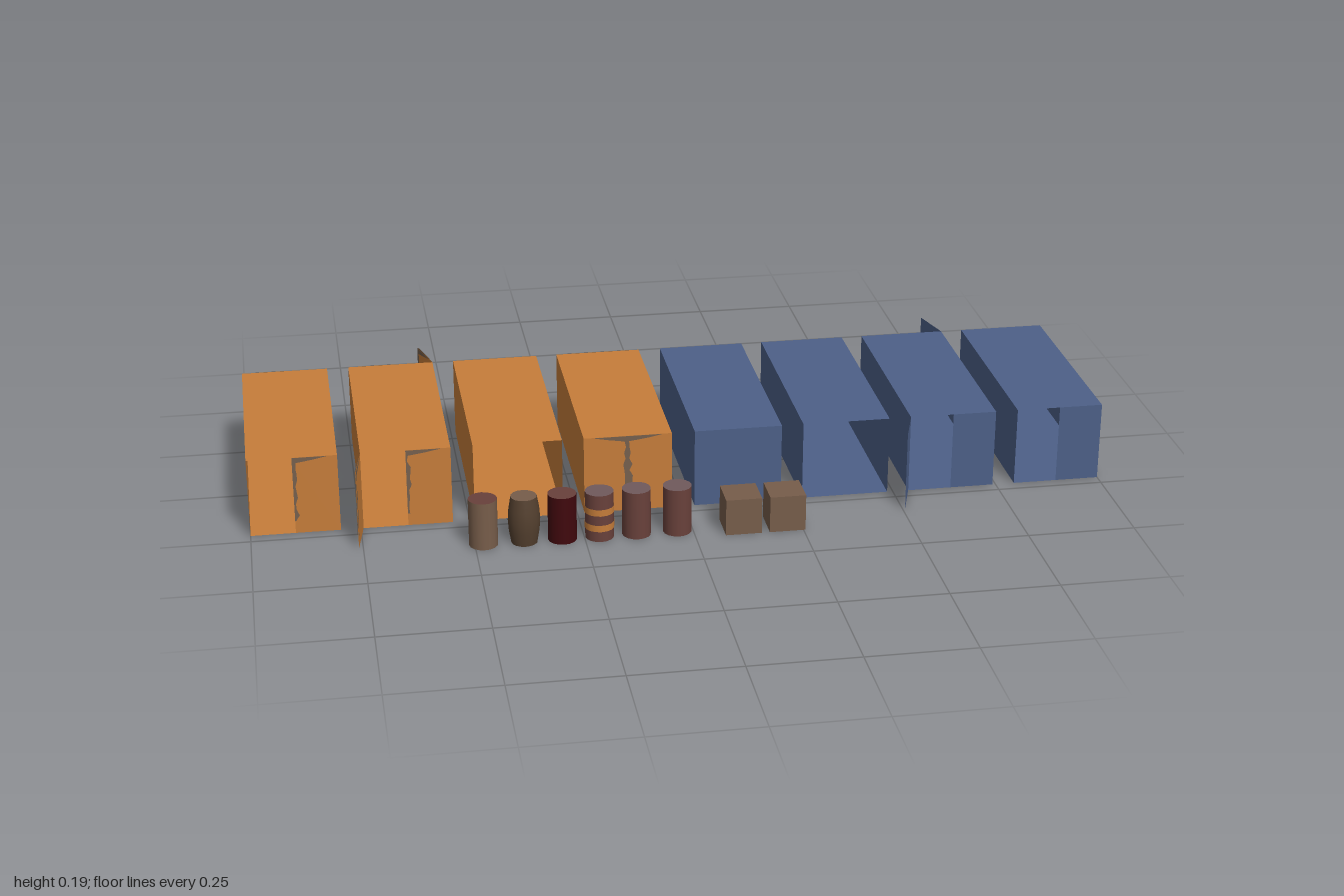
import * as THREE from 'three';

const mat = (name, color, side = THREE.FrontSide) => {
  const m = new THREE.MeshStandardMaterial({ color, side });
  m.name = name;
  return m;
};

export function createModel() {
  const orange = mat('orange steel', 0xc67d3a, THREE.DoubleSide);
  const blue = mat('blue steel', 0x4d6088, THREE.DoubleSide);
  const rust = mat('rust', 0x75604e, THREE.DoubleSide);
  const wood = mat('crate wood', 0x775d4a);
  const staveWood = mat('stave wood', 0x54402f);
  const drumRed = mat('red brown drum', 0x69413b);
  const darkRed = mat('dark red drum', 0x40080d);
  const lidGrey = mat('grey lid', 0x70595c);

  const model = new THREE.Group();
  model.name = 'cargoYard';
  const W = 0.205, H = 0.188, D = 0.515, LEAF = W / 2;

  const add = (parent, name, geometry, material, x = 0, y = 0, z = 0) => {
    const mesh = new THREE.Mesh(geometry, material);
    mesh.name = name;
    mesh.position.set(x, y, z);
    parent.add(mesh);
    return mesh;
  };

  let seed = 7;
  const rand = () => (seed = (seed * 16807) % 2147483647) / 2147483647;

  // Ragged streak running down the free edge of a door leaf
  const streakShape = () => {
    const s = new THREE.Shape();
    s.moveTo(LEAF * 0.2, H);
    s.lineTo(LEAF, H);
    s.lineTo(LEAF, 0.03);
    for (let i = 0; i <= 10; i++) s.lineTo(LEAF - 0.002 - rand() * 0.01, 0.03 + i * 0.0145);
    s.lineTo(LEAF * 0.55, H - 0.007);
    return new THREE.ShapeGeometry(s);
  };

  // Door leaf hinged at its local x = 0
  const doorLeaf = (material, rusty) => {
    const g = new THREE.Group();
    g.name = 'door';
    add(g, 'doorPanel', new THREE.PlaneGeometry(LEAF, H), material, LEAF / 2, H / 2);
    if (rusty) {
      const streak = streakShape();
      for (const z of [-0.0015, 0.0015]) add(g, 'rustStreak', streak, rust, 0, 0, z);
    }
    return g;
  };

  // Thin-walled container; each end lists the swing of its two leaves, null for a missing leaf
  const container = (x, material, ends) => {
    const g = new THREE.Group();
    g.name = 'container';
    g.position.set(x, 0, -0.0375);
    const flat = new THREE.PlaneGeometry(W, D).rotateX(-Math.PI / 2);
    const wall = new THREE.PlaneGeometry(D, H).rotateY(Math.PI / 2);
    add(g, 'roof', flat, material, 0, H);
    add(g, 'floor', flat, material);
    for (const s of [-1, 1]) add(g, 'sideWall', wall, material, s * W / 2, H / 2);
    ends.forEach((swings, i) => {
      const end = new THREE.Group();
      end.name = i ? 'backEnd' : 'frontEnd';
      end.rotation.y = i * Math.PI;
      swings.forEach((deg, j) => {
        if (deg === null) return;
        const leaf = doorLeaf(material, material === orange);
        const a = THREE.MathUtils.degToRad(deg);
        leaf.position.set(j ? W / 2 : -W / 2, 0, D / 2);
        leaf.rotation.y = j ? Math.PI + a : -a;
        end.add(leaf);
      });
      g.add(end);
    });
    model.add(g);
  };

  const half = [[null, 0], [null, 0]], open = [[null, null], [null, null]], shut = [[0, 0], [0, 0]];
  container(-0.8975, orange, half);
  container(-0.641, orange, [[99, 0], [74, 0]]);
  container(-0.3855, orange, open);
  container(-0.1305, orange, shut);
  container(0.128, blue, shut);
  container(0.384, blue, open);
  container(0.64, blue, [[108, 0], [75, 0]]);
  container(0.8975, blue, half);

  // Drums: side and lid colours
  const R = 0.033, BH = 0.114;
  const drum = (x, side, lid) => {
    const g = new THREE.Group();
    g.name = 'drum';
    g.position.set(x, 0, 0.345);
    add(g, 'drumBody', new THREE.CylinderGeometry(R, R, BH, 16), [side, lid, side], 0, BH / 2);
    model.add(g);
    return g;
  };
  drum(-0.48, wood, drumRed);
  drum(-0.3, darkRed, drumRed);
  const banded = drum(-0.215, drumRed, lidGrey);
  for (const y of [0.033, 0.072])
    add(banded, 'paintBand', new THREE.CylinderGeometry(R + 0.001, R + 0.001, 0.016, 16, 1, true), orange, 0, y);
  drum(-0.13, drumRed, lidGrey);
  drum(-0.036, drumRed, lidGrey);

  // Bulging stave barrel
  const barrel = new THREE.Group();
  barrel.name = 'woodenBarrel';
  barrel.position.set(-0.387, 0, 0.345);
  const profile = [[0.03, 0], [0.035, 0.03], [0.037, 0.057], [0.035, 0.084], [0.03, BH]];
  add(barrel, 'staves', new THREE.LatheGeometry(profile.map(p => new THREE.Vector2(...p)), 16), staveWood);
  for (const [y, turn] of [[0, Math.PI / 2], [BH, -Math.PI / 2]])
    add(barrel, 'barrelHead', new THREE.CircleGeometry(0.03, 16).rotateX(turn), wood, 0, y);
  model.add(barrel);

  // Crates
  for (const x of [0.111, 0.213])
    add(model, 'crate', new THREE.BoxGeometry(0.083, 0.087, 0.083), wood, x, 0.0435, 0.3475);

  return model;
}
